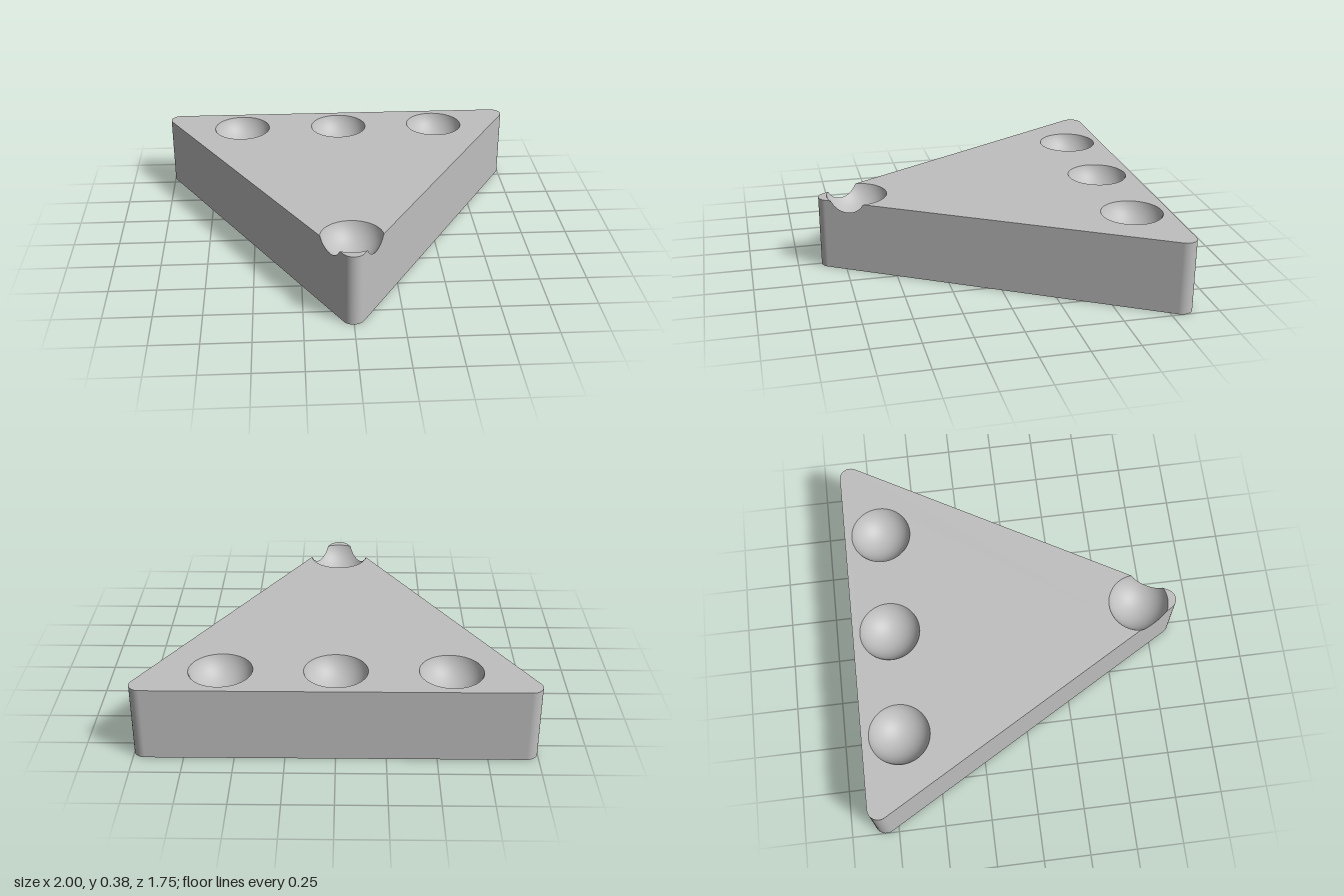
import * as THREE from 'three';
import { ParametricGeometry } from 'three/addons/geometries/ParametricGeometry.js';

const TOP = 0.385;              // slab height
const CORNER = 0.058;           // corner rounding
const DIMPLE = 0.16;            // dimple rim radius
const LIFT = 0.0494;            // dimple sphere centre above the top face
const BALL = Math.hypot(DIMPLE, LIFT);
const TIP = [0, 0.67];          // dimple that breaks through the front corner
const SPOTS = [[-0.57, -0.675], [0, -0.675], [0.57, -0.675], TIP];
const rad = THREE.MathUtils.degToRad;

// Points { x, z, a } along an arc in plan; a is the angle in degrees
function arc([x, z], r, a0, a1, steps) {
  return Array.from({ length: steps + 1 }, (_, i) => {
    const a = a0 + (a1 - a0) * i / steps;
    return { x: x + r * Math.cos(rad(a)), z: z + r * Math.sin(rad(a)), a };
  });
}

// Distance from the tip dimple's centre to its edge, cut off by the side walls
function tipReach(angle) {
  const cut = DIMPLE * Math.cos(rad(35));
  const near = Math.max(Math.cos(angle - rad(30)), Math.cos(angle - rad(150)));
  return near > 0 ? Math.min(DIMPLE, cut / near) : DIMPLE;
}
const dimpleY = (r) => TOP + LIFT - Math.sqrt(BALL * BALL - r * r);

// Rounded corners of the triangular plan
const rightCorner = arc([0.942, -0.816], CORNER, -90, 30, 12);
const tipCorner = arc([0, 0.816], CORNER, 30, 150, 12);
const leftCorner = arc([-0.942, -0.816], CORNER, 150, 270, 12);

// Side-wall points where the tip dimple opens the wall
function notch(a0, a1, facing) {
  return arc([0, 0], 1, a0, a1, 14).map(({ a }) => {
    const r = tipReach(rad(a));
    return { x: TIP[0] + r * Math.cos(rad(a)), z: TIP[1] + r * Math.sin(rad(a)), a: facing, y: dimpleY(r) };
  });
}

// Wall strip around the plan, its top edge dipping at the notches
function wallGeometry() {
  const path = [...rightCorner, ...notch(-5, 65, 30), ...tipCorner,
    ...notch(115, 185, 150), ...leftCorner, rightCorner[0]];
  const pos = [], nor = [], index = [];
  path.forEach(({ x, z, a, y = TOP }, i) => {
    pos.push(x, 0, z, x, y, z);
    const n = [Math.cos(rad(a)), 0, Math.sin(rad(a))];
    nor.push(...n, ...n);
    if (i < path.length - 1) {
      const k = 2 * i;
      index.push(k, k + 1, k + 2, k + 1, k + 3, k + 2);
    }
  });
  const geo = new THREE.BufferGeometry();
  geo.setAttribute('position', new THREE.Float32BufferAttribute(pos, 3));
  geo.setAttribute('normal', new THREE.Float32BufferAttribute(nor, 3));
  geo.setIndex(index);
  return geo;
}

// Flat face from plan points; side is 1 for upward, -1 for downward
function faceGeometry(points, holes, side) {
  const flat = (list) => list.map((p) => new THREE.Vector2(p.x, -side * p.z));
  const shape = new THREE.Shape(flat(points));
  holes.forEach((h) => shape.holes.push(new THREE.Path(flat(h.slice(0, -1)))));
  return new THREE.ShapeGeometry(shape).rotateX(-side * Math.PI / 2);
}

// Spherical hollow in the top face
function dimpleGeometry([cx, cz], reach) {
  const geo = new ParametricGeometry((u, v, p) => {
    const a = u * Math.PI * 2;
    const r = reach(a) * v;
    p.set(cx + r * Math.cos(a), dimpleY(r), cz + r * Math.sin(a));
  }, 72, 14);
  const pos = geo.attributes.position;
  for (let i = 0; i < pos.count; i++) {
    geo.attributes.normal.setXYZ(i, (cx - pos.getX(i)) / BALL,
      (TOP + LIFT - pos.getY(i)) / BALL, (cz - pos.getZ(i)) / BALL);
  }
  // Make the winding face up, towards the sphere centre
  const ix = geo.index;
  const [a, b, c] = [0, 1, 2].map((k) => new THREE.Vector3().fromBufferAttribute(pos, ix.getX(ix.count - 3 + k)));
  if (b.sub(a).cross(c.sub(a)).y < 0) geo.setIndex(Array.from(ix.array).reverse());
  return geo;
}

export function createModel() {
  const group = new THREE.Group();
  const grey = new THREE.MeshStandardMaterial({ color: 0xbfbfbf, side: THREE.DoubleSide });
  grey.name = 'grey';
  const add = (name, geo, x = 0, y = 0, z = 0) => {
    const mesh = new THREE.Mesh(geo, grey);
    mesh.name = name;
    mesh.position.set(x, y, z);
    group.add(mesh);
  };

  add('sideWall', wallGeometry());

  // Top face, split in two by the tip dimple
  const rims = SPOTS.slice(0, 3).map((c) => arc(c, DIMPLE, 0, 360, 72));
  add('topFace', faceGeometry(
    [...rightCorner, ...arc(TIP, DIMPLE, -5, -175, 34), ...leftCorner], rims, 1), 0, TOP, 0);
  add('topTip', faceGeometry([...tipCorner, ...arc(TIP, DIMPLE, 115, 65, 10)], [], 1), 0, TOP, 0);
  SPOTS.forEach((c) => add('dimple', dimpleGeometry(c, c === TIP ? tipReach : () => DIMPLE)));

  // Underside with a large recess and a small one beneath each dimple
  const recesses = [{ c: [0, -0.21], r: 0.262 }, ...SPOTS.map((c) => ({ c, r: 0.1 }))];
  const depth = 0.125;
  add('underside', faceGeometry([...rightCorner, ...tipCorner, ...leftCorner],
    recesses.map(({ c, r }) => arc(c, r, 0, 360, 64)), -1));
  recesses.forEach(({ c: [x, z], r }) => {
    add('recessWall', new THREE.CylinderGeometry(r, r, depth, 64, 1, true), x, depth / 2, z);
    add('recessCeiling', new THREE.CircleGeometry(r, 64).rotateX(Math.PI / 2), x, depth, z);
  });
  return group;
}
